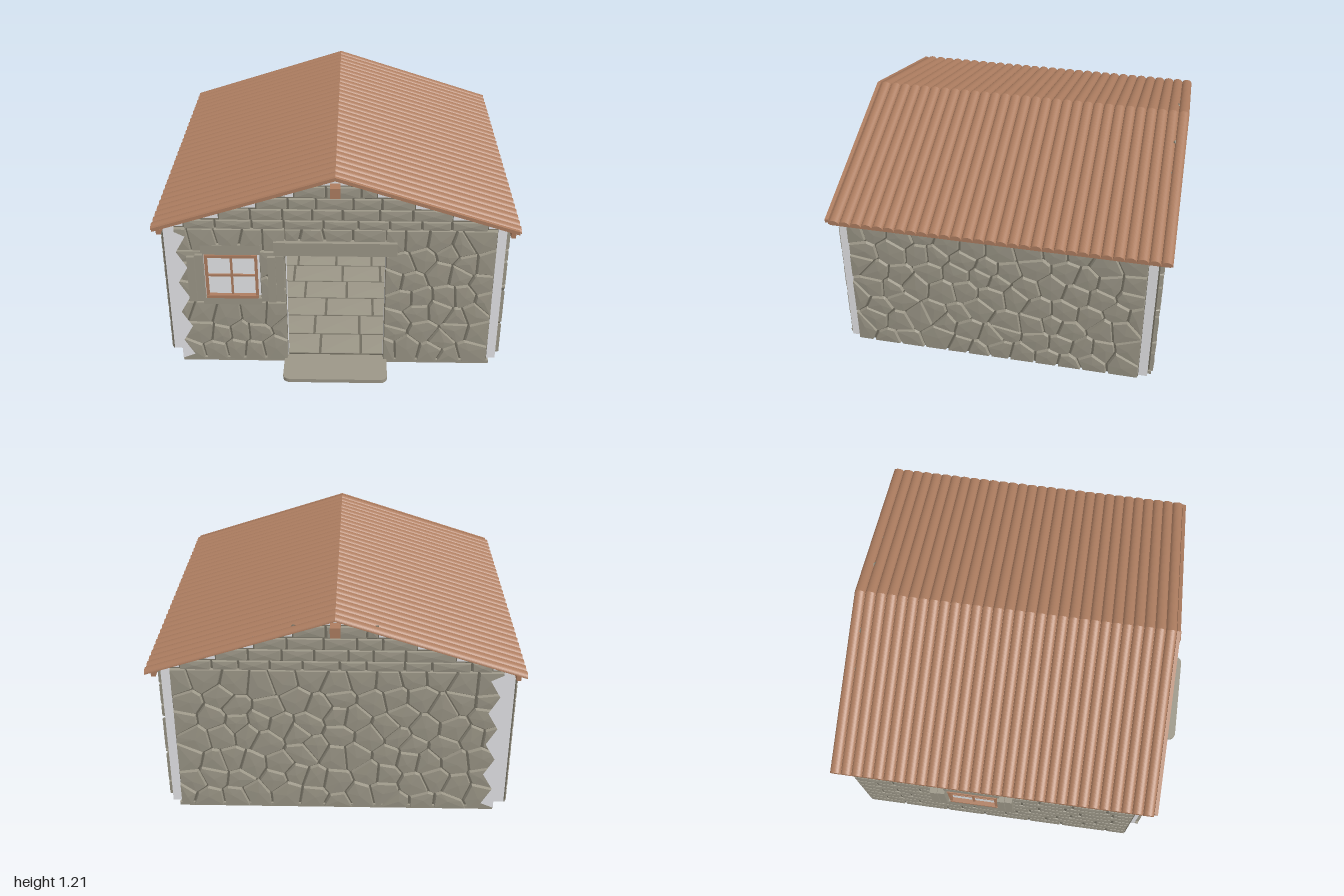
import * as THREE from 'three';
import { mergeGeometries } from 'three/addons/utils/BufferGeometryUtils.js';

const mat = (name, color) => {
  const m = new THREE.MeshStandardMaterial({ color });
  m.name = name;
  return m;
};

export function createModel() {
  const stoneMat = mat('stone', 0x9b9687), mortarMat = mat('mortar', 0x716d60);
  const woodMat = mat('wood', 0xad7d60), plasterMat = mat('plaster', 0xf0f0f3);
  const glassMat = mat('glass', 0xe8eaec);
  const root = new THREE.Group();
  root.name = 'stoneHut';

  let seed = 7;
  const rnd = () => (seed = (seed * 16807) % 2147483647) / 2147483647;

  const add = (parent, name, geo, m, x = 0, y = 0, z = 0) => {
    const mesh = new THREE.Mesh(geo, m);
    mesh.name = name;
    mesh.position.set(x, y, z);
    parent.add(mesh);
    return mesh;
  };
  // Box from min/max corners
  const box = (parent, name, m, x0, x1, y0, y1, z0, z1) =>
    add(parent, name, new THREE.BoxGeometry(x1 - x0, y1 - y0, z1 - z0), m, (x0 + x1) / 2, (y0 + y1) / 2, (z0 + z1) / 2);
  const group = (name, x, z, turn) => {
    const g = new THREE.Group();
    g.name = name;
    g.position.set(x, 0, z);
    g.rotation.y = turn;
    root.add(g);
    return g;
  };
  const polygon = pts => new THREE.Shape(pts.map(p => new THREE.Vector2(...p)));
  const rectPoly = (x0, x1, y0, y1) => [[x0, y0], [x1, y0], [x1, y1], [x0, y1]];
  const roundPanel = (w, h, r, depth) => {
    const s = new THREE.Shape(), a = w / 2, b = h / 2;
    s.absarc(a - r, b - r, r, 0, Math.PI / 2);
    s.absarc(r - a, b - r, r, Math.PI / 2, Math.PI);
    s.absarc(r - a, r - b, r, Math.PI, Math.PI * 1.5);
    s.absarc(a - r, r - b, r, Math.PI * 1.5, Math.PI * 2);
    return new THREE.ExtrudeGeometry(s, { depth, bevelEnabled: false, curveSegments: 5 });
  };

  // One bevelled stone: polygon outline, narrower top, slightly raised centre
  const stone = (poly, depth) => {
    const n = poly.length, pos = [];
    const cx = poly.reduce((s, p) => s + p[0], 0) / n, cy = poly.reduce((s, p) => s + p[1], 0) / n;
    const top = poly.map(([x, y]) => {
      const k = Math.max(0.7, 1 - 0.007 / Math.hypot(x - cx, y - cy));
      return [cx + (x - cx) * k, cy + (y - cy) * k, depth];
    });
    const mid = [cx, cy, depth + 0.004];
    for (let i = 0; i < n; i++) {
      const j = (i + 1) % n, a = [...poly[i], 0], b = [...poly[j], 0];
      pos.push(...a, ...b, ...top[j], ...a, ...top[j], ...top[i], ...top[i], ...top[j], ...mid);
    }
    const g = new THREE.BufferGeometry();
    g.setAttribute('position', new THREE.Float32BufferAttribute(pos, 3));
    g.computeVertexNormals();
    return g;
  };

  // Keep the part of a polygon nearer to p than to q, leaving a joint
  const clip = (poly, p, q, gap) => {
    const dx = q[0] - p[0], dy = q[1] - p[1], len = Math.hypot(dx, dy);
    const side = v => ((v[0] - (p[0] + q[0]) / 2) * dx + (v[1] - (p[1] + q[1]) / 2) * dy) / len + gap;
    const out = [];
    poly.forEach((a, i) => {
      const b = poly[(i + 1) % poly.length], sa = side(a), sb = side(b);
      if (sa <= 0) out.push(a);
      if (sa * sb < 0) out.push([a[0] + (b[0] - a[0]) * sa / (sa - sb), a[1] + (b[1] - a[1]) * sa / (sa - sb)]);
    });
    return out;
  };

  // Irregular rubble facing filling a rectangle
  const rubble = (parent, x0, x1, y0, y1, depth = 0.028) => {
    const nx = Math.max(1, Math.round((x1 - x0) / 0.13)), ny = Math.max(1, Math.round((y1 - y0) / 0.125));
    const sites = [], stones = [];
    for (let j = 0; j < ny; j++) for (let i = 0; i < nx; i++) {
      sites.push([x0 + (x1 - x0) * (i + 0.5 + (j % 2 - 0.5) * 0.4 + (rnd() - 0.5) * 0.65) / nx,
        y0 + (y1 - y0) * (j + 0.5 + (rnd() - 0.5) * 0.75) / ny]);
    }
    for (const p of sites) {
      let poly = rectPoly(x0, x1, y0, y1);
      for (const q of sites) if (q !== p) poly = clip(poly, p, q, 0.0035);
      if (poly.length > 2) stones.push(stone(poly, depth));
    }
    add(parent, 'rubbleStones', mergeGeometries(stones), stoneMat);
    box(parent, 'rubbleMortar', mortarMat, x0, x1, y0, y1, 0, 0.008);
  };

  // Coursed blocks filling a rectangle
  const blocks = (parent, x0, x1, y0, y1, rows, width, depth = 0.022) => {
    const h = (y1 - y0) / rows, list = [];
    for (let r = 0; r < rows; r++) {
      let x = x0, w = width * (r % 2 ? 0.55 : 1);
      while (x < x1 - 0.001) {
        let e = x + w;
        if (x1 - e < width * 0.35) e = x1;
        list.push(stone(rectPoly(x + 0.0025, e - 0.0025, y0 + r * h + 0.0025, y0 + (r + 1) * h - 0.0025), depth));
        x = e;
        w = width * (0.75 + rnd() * 0.5);
      }
    }
    add(parent, 'blocks', mergeGeometries(list), stoneMat);
    box(parent, 'blockMortar', mortarMat, x0, x1, y0, y1, 0, 0.007);
  };

  // Base slab, paved floor and doorstep
  box(root, 'baseSlab', stoneMat, -0.87, 0.87, 0, 0.02, -0.95, 0.815);
  const floor = group('floorPaving', 0, 0, 0);
  floor.rotation.x = -Math.PI / 2;
  floor.position.y = 0.02;
  blocks(floor, -0.86, 0.84, -0.78, 0.86, 9, 0.26, 0.01);
  add(root, 'doorstep', roundPanel(0.58, 0.24, 0.04, 0.022), stoneMat, 0, 0, 0.88).rotation.x = -Math.PI / 2;

  // Plaster core walls, with a doorway in the front
  const wall = (n, ...b) => box(root, n, plasterMat, ...b);
  wall('rightCore', -0.935, -0.875, 0.02, 0.88, -0.91, 0.735);
  wall('leftCore', 0.85, 0.91, 0.02, 0.88, -0.93, 0.79);
  wall('backCore', -0.875, 0.85, 0.02, 0.88, -0.93, -0.87);
  wall('frontCoreWindowSide', -0.875, -0.27, 0.02, 0.88, 0.73, 0.79);
  wall('frontCorePlainSide', 0.27, 0.85, 0.02, 0.88, 0.73, 0.79);
  wall('frontCoreAboveDoor', -0.27, 0.27, 0.75, 0.88, 0.73, 0.79);
  for (const z of [0.735, -0.93]) {
    add(root, 'gableCore', new THREE.ExtrudeGeometry(polygon([[-0.95, 0.87], [0.95, 0.87], [0, 1.18]]),
      { depth: 0.055, bevelEnabled: false }), plasterMat, 0, 0, z);
  }

  // Outer facings; each group's local z points outwards
  const front = group('frontFacing', 0, 0.79, 0);
  const back = group('backFacing', 0, -0.93, Math.PI);
  const left = group('leftFacing', 0.91, 0, Math.PI / 2);
  const right = group('rightFacing', -0.935, 0, -Math.PI / 2);
  rubble(front, -0.86, -0.27, 0.005, 0.41);
  rubble(front, -0.86, -0.72, 0.41, 0.74);
  rubble(front, -0.41, -0.27, 0.41, 0.74);
  rubble(front, -0.86, -0.27, 0.74, 0.88);
  rubble(front, -0.27, 0.27, 0.8, 0.88);
  rubble(front, 0.27, 0.86, 0.005, 0.88);
  rubble(back, -0.86, 0.87, 0.005, 0.88);
  rubble(left, -0.74, 0.88, 0.02, 0.87);
  blocks(right, -0.91, 0.735, 0.02, 0.4, 4, 0.23, 0.014);
  blocks(right, -0.91, -0.37, 0.4, 0.78, 4, 0.23, 0.014);
  blocks(right, -0.05, 0.735, 0.4, 0.78, 4, 0.23, 0.014);
  blocks(right, -0.91, 0.735, 0.78, 0.87, 1, 0.23, 0.014);

  // Inner facings
  rubble(group('innerBackFacing', 0, -0.87, 0), -0.86, 0.84, 0.03, 0.87, 0.015);
  rubble(group('innerRightFacing', -0.875, 0, Math.PI / 2), -0.72, 0.86, 0.03, 0.87, 0.015);
  rubble(group('innerLeftFacing', 0.85, 0, -Math.PI / 2), -0.86, 0.72, 0.03, 0.87, 0.015);

  // Stepped gable courses
  for (const side of [front, back]) {
    [[0.81, 0.875], [0.62, 0.93], [0.42, 0.997], [0.22, 1.067]].forEach(([w, y], i) =>
      blocks(side, -w, w, y, y + (i ? 0.067 : 0.055), 1, 0.17));
    box(side, 'ridgeBeamEnd', woodMat, -0.027, 0.027, 1.088, 1.145, 0, 0.06);
  }

  // Ragged plaster edge at the window-side corners
  for (const [side, s] of [[front, 1], [back, -1]]) {
    const pts = [[-0.87 * s, 0.02]];
    for (let i = 0; i < 9; i++) pts.push([(-0.86 + (i % 2 ? 0.005 : 0.06)) * s, 0.05 + i * 0.098]);
    pts.push([-0.87 * s, 0.87]);
    add(side, 'raggedPlaster', new THREE.ShapeGeometry(polygon(pts)), plasterMat, 0, 0, 0.034);
  }

  // Door lintel
  box(front, 'doorLintel', stoneMat, -0.33, 0.33, 0.73, 0.81, -0.06, 0.05);

  // Window: pane, wooden frame, glazing bars, stone sill and head, plank shutters at given offsets
  const windowUnit = (parent, cx, shutters) => {
    const g = new THREE.Group();
    g.name = 'window';
    g.position.set(cx, 0.58, 0);
    parent.add(g);
    const w = 0.285, h = 0.28, a = w / 2, b = h / 2;
    box(g, 'pane', glassMat, -a, a, -b, b, 0.002, 0.01);
    for (const s of [-1, 1]) {
      add(g, 'frameSide', new THREE.BoxGeometry(0.014, h, 0.03), woodMat, s * (a - 0.007), 0, 0.017);
      add(g, 'frameRail', new THREE.BoxGeometry(w, 0.018, 0.034), woodMat, 0, s * (b - 0.009), 0.019);
    }
    add(g, 'verticalBar', new THREE.BoxGeometry(0.012, h, 0.016), woodMat, 0, 0, 0.012);
    add(g, 'crossBar', new THREE.BoxGeometry(w, 0.012, 0.016), woodMat, 0, 0, 0.012);
    box(g, 'windowSill', stoneMat, -0.16, 0.16, -0.18, -b, 0, 0.036);
    box(g, 'windowHead', stoneMat, -0.16, 0.16, b, 0.2, 0, 0.03);
    for (const x of shutters) for (let i = 0; i < 2; i++)
      box(g, 'shutterPlank', stoneMat, x + i * 0.045, x + i * 0.045 + 0.041, -0.155 + i * 0.008, 0.135 + i * 0.012, 0.012, 0.05);
  };
  windowUnit(front, -0.565, [-0.235, 0.2]);
  windowUnit(right, -0.21, [-0.24, 0.15]);

  // Roof: half-round tiles sheared to run down both slopes and meet at the ridge
  const fall = 0.322, pitch = 1.82 / 30, run = 0.98;
  const half = new THREE.Shape();
  half.absellipse(0, 0, pitch / 2, 0.024, 0, Math.PI);
  const shear = geo => {
    const p = geo.attributes.position;
    for (let i = 0; i < p.count; i++) p.setY(i, p.getY(i) - fall * Math.abs(p.getX(i)));
    geo.computeVertexNormals();
    return geo;
  };
  for (const s of [-1, 1]) {
    const slope = group(s > 0 ? 'leftRoofSlope' : 'rightRoofSlope', 0, 0, 0);
    slope.position.y = 1.186;
    const tiles = [];
    for (let i = 0; i < 30; i++) {
      const g = new THREE.ExtrudeGeometry(half, { depth: run, bevelEnabled: false, curveSegments: 8 });
      tiles.push(shear(g.rotateY(s * Math.PI / 2).translate(0, 0, -1 + pitch * (i + 0.5))));
    }
    add(slope, 'roofTiles', mergeGeometries(tiles), woodMat);
    const strip = (name, len, h, y, d, z) =>
      add(slope, name, shear(new THREE.BoxGeometry(len, h, d).translate(s * len / 2, y, z)), woodMat);
    strip('roofBoard', run, 0.008, 0, 1.8, -0.09);
    strip('frontFascia', run - 0.01, 0.02, 0.008, 0.02, 0.83);
    box(root, 'eaveRail', woodMat, s * 0.94 - 0.012, s * 0.94 + 0.012, 0.843, 0.872, -0.97, 0.82);
  }

  // Framed panel hung on the inner back wall
  add(root, 'panelFrame', roundPanel(0.31, 0.46, 0.04, 0.02), woodMat, 0, 0.585, -0.855);
  add(root, 'panelFace', roundPanel(0.285, 0.435, 0.03, 0.006), stoneMat, 0, 0.585, -0.835);

  // Table and bench with slatted tops
  const slatted = (name, cx, cz, w, d, h) => {
    const g = group(name, cx, cz, 0);
    for (let i = 0; i < 3; i++)
      box(g, 'slat', woodMat, -w / 2 + i * w / 3, -w / 2 + (i + 0.92) * w / 3, h - 0.02, h, -d / 2, d / 2);
    for (const x of [-1, 1]) for (const z of [-1, 1])
      add(g, 'leg', new THREE.BoxGeometry(0.03, h - 0.045, 0.03), woodMat, x * (w / 2 - 0.025), h / 2 + 0.0025, z * (d / 2 - 0.03));
    for (const z of [-1, 1])
      add(g, 'apron', new THREE.BoxGeometry(w - 0.04, 0.025, 0.015), woodMat, 0, h - 0.03, z * (d / 2 - 0.03));
  };
  slatted('table', -0.67, -0.17, 0.22, 0.36, 0.21);
  slatted('bench', -0.47, -0.17, 0.13, 0.32, 0.14);

  return root;
}
